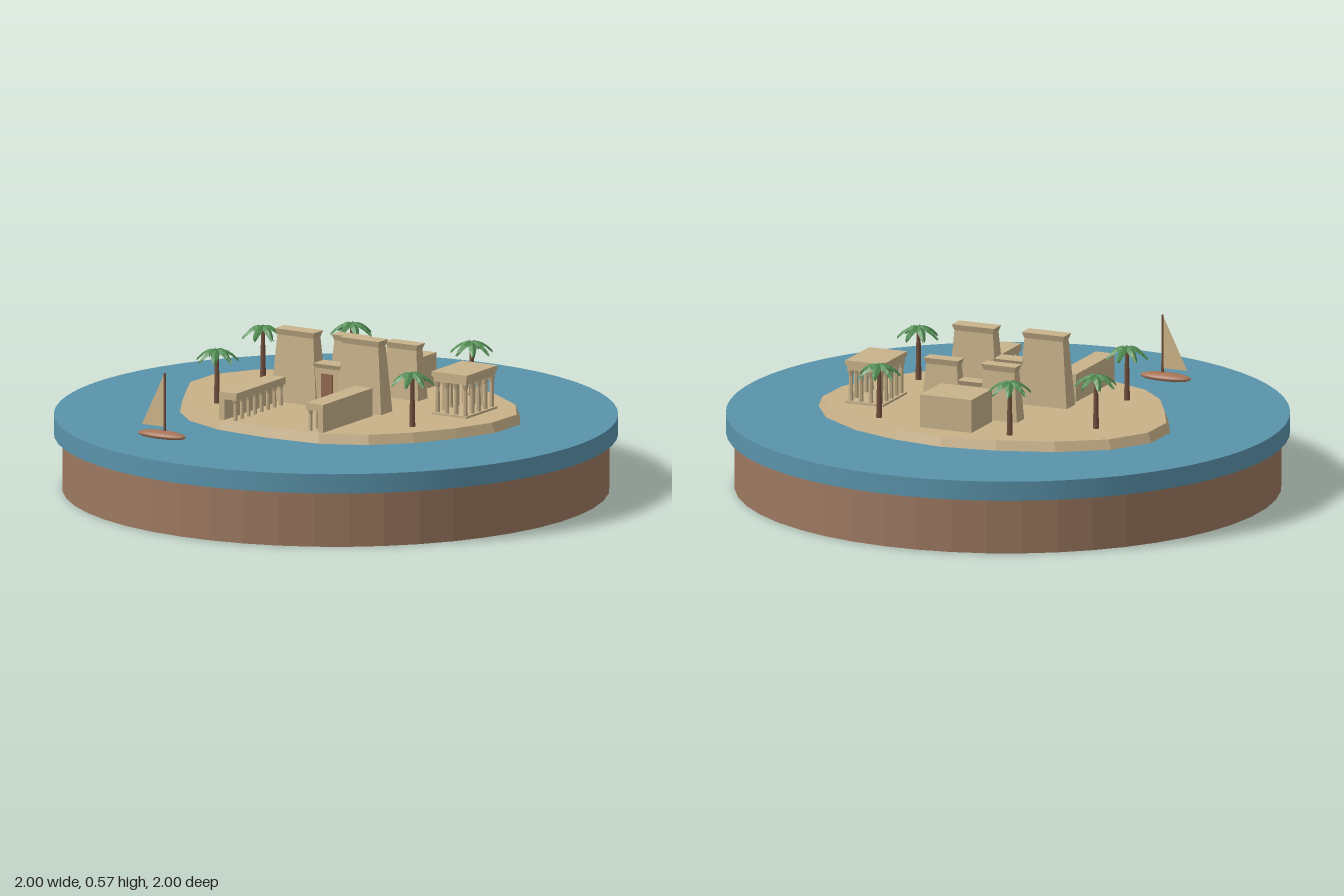
import * as THREE from 'three';

const mat = (name, color, extra = {}) => Object.assign(new THREE.MeshStandardMaterial({ color, ...extra }), { name });
const GROUND = 0.305;
const TURN = -0.345; // shared bearing of the buildings and the boat

export function createModel() {
  const water = mat('water', 0x5a93ab);
  const earth = mat('earth', 0x9c7860, { flatShading: true });
  const sand = mat('sand', 0xc8b189, { flatShading: true });
  const stone = mat('stone', 0xc8b28a, { flatShading: true });
  const door = mat('door', 0x94684f);
  const bark = mat('bark', 0x74523f);
  const leaf = mat('leaf', 0x4f8a50, { flatShading: true, side: THREE.DoubleSide });
  const hullWood = mat('hull wood', 0xa87558);
  const cloth = mat('sail cloth', 0xd0b68c, { side: THREE.DoubleSide });

  const model = new THREE.Group();
  model.name = 'islandTemple';

  const add = (parent, name, geometry, material, x = 0, y = 0, z = 0) => {
    const mesh = new THREE.Mesh(geometry, material);
    mesh.name = name;
    mesh.position.set(x, y, z);
    parent.add(mesh);
    return mesh;
  };
  const group = (name, x, y, z, turn = TURN) => {
    const g = new THREE.Group();
    g.name = name;
    g.position.set(x, y, z);
    g.rotation.y = turn;
    model.add(g);
    return g;
  };
  const box = (parent, name, w, h, d, x, y, z, material = stone) =>
    add(parent, name, new THREE.BoxGeometry(w, h, d), material, x, y + h / 2, z);

  // Box standing on y with a different footprint at its top
  const taperedBox = (parent, name, [w, d], [tw, td], h, x, y, z = 0) => {
    const g = new THREE.BoxGeometry(w, h, d);
    const p = g.attributes.position;
    for (let i = 0; i < p.count; i++) {
      if (p.getY(i) > 0) p.setXYZ(i, p.getX(i) * tw / w, p.getY(i), p.getZ(i) * td / d);
    }
    g.computeVertexNormals();
    return add(parent, name, g, stone, x, y + h / 2, z);
  };

  // Round base and water
  add(model, 'earthBase', new THREE.CylinderGeometry(0.97, 0.97, 0.2, 48), earth, 0, 0.1);
  add(model, 'waterDisc', new THREE.CylinderGeometry(1, 1, 0.07, 64), water, 0, 0.235);

  // Island with a sloping bank
  const outline = [
    [-0.6, -0.255], [-0.545, -0.405], [-0.41, -0.515], [-0.215, -0.565], [0, -0.56], [0.2, -0.52],
    [0.37, -0.43], [0.52, -0.305], [0.64, -0.13], [0.68, 0.035], [0.62, 0.19], [0.51, 0.31],
    [0.375, 0.415], [0.225, 0.485], [0.045, 0.5], [-0.16, 0.44], [-0.35, 0.35], [-0.485, 0.225],
    [-0.55, 0.09], [-0.58, -0.08],
  ];
  const island = new THREE.ExtrudeGeometry(
    new THREE.Shape(outline.map(([x, z]) => new THREE.Vector2(x, -z))),
    { depth: GROUND - 0.26, bevelEnabled: false },
  ).rotateX(-Math.PI / 2);
  const ip = island.attributes.position;
  for (let i = 0; i < ip.count; i++) {
    if (ip.getY(i) > 0.01) ip.setXYZ(i, 0.04 + (ip.getX(i) - 0.04) * 0.972, ip.getY(i), -0.03 + (ip.getZ(i) + 0.03) * 0.972);
  }
  island.computeVertexNormals();
  add(model, 'island', island, sand, 0, 0.26);

  // Gateway: two battered towers with flared cornices and a lower door block
  const pylon = (name, x, z, spacing, base, top, height, gateHeight) => {
    const g = group(name, x, GROUND, z);
    for (const s of [-1, 1]) {
      taperedBox(g, 'tower', base, top, height - 0.022, s * spacing / 2, 0);
      taperedBox(g, 'towerCornice', top, [top[0] + 0.014, top[1] + 0.014], 0.022, s * spacing / 2, height - 0.022);
    }
    const gw = spacing - top[0] - 0.01;
    const gd = base[1] - 0.02;
    box(g, 'gateBlock', gw, gateHeight - 0.016, gd, 0, 0, 0);
    taperedBox(g, 'gateCornice', [gw, gd], [gw, gd + 0.014], 0.016, 0, gateHeight - 0.016);
    for (const s of [-1, 1]) box(g, 'door', 0.046, gateHeight - 0.035, 0.004, 0, 0, s * (gd / 2 + 0.002), door);
  };
  pylon('firstPylon', -0.01, 0.03, 0.272, [0.19, 0.075], [0.15, 0.048], 0.262, 0.155);
  pylon('secondPylon', 0.11, -0.2, 0.223, [0.15, 0.064], [0.12, 0.04], 0.2, 0.13);

  // Sanctuary behind the second gateway
  const sanctuary = group('sanctuary', 0.158, GROUND, -0.33);
  box(sanctuary, 'sanctuaryHall', 0.2, 0.12, 0.177, 0, 0, 0);

  const column = (parent, x, z, y, h, r) => {
    add(parent, 'columnShaft', new THREE.CylinderGeometry(r * 0.85, r, h, 8), stone, x, y + h / 2, z);
    add(parent, 'columnCapital', new THREE.CylinderGeometry(r * 1.45, r * 0.85, h * 0.2, 8), stone, x, y + h * 0.9, z);
  };

  // Two colonnades facing each other across the court
  const colonnade = (name, x, z, inner) => {
    const g = group(name, x, GROUND, z);
    box(g, 'backWall', 0.022, 0.075, 0.33, -inner * 0.025, 0, 0);
    box(g, 'colonnadeRoof', 0.072, 0.026, 0.33, 0, 0.075, 0);
    for (let i = 0; i < 8; i++) column(g, inner * 0.024, -0.152 + i * 0.0434, 0, 0.075, 0.0075);
  };
  colonnade('westColonnade', -0.262, 0.19, 1);
  colonnade('eastColonnade', 0.078, 0.307, -1);

  // Open kiosk with columns around its edge
  const kiosk = group('kiosk', 0.47, GROUND, 0.018);
  box(kiosk, 'kioskFloor', 0.147, 0.008, 0.208, 0, 0, 0);
  for (let i = 0; i < 4; i++) {
    for (let j = 0; j < 5; j++) {
      if (i % 3 && j % 4) continue;
      column(kiosk, -0.058 + i * 0.0387, -0.088 + j * 0.044, 0.008, 0.112, 0.009);
    }
  }
  box(kiosk, 'kioskBeam', 0.136, 0.018, 0.197, 0, 0.12, 0);
  box(kiosk, 'kioskRoof', 0.147, 0.018, 0.208, 0, 0.138, 0);

  // Palm frond: a folded, drooping strip
  const frond = new THREE.PlaneGeometry(1, 1, 4, 2);
  const fp = frond.attributes.position;
  for (let i = 0; i < fp.count; i++) {
    const u = fp.getX(i) + 0.5;
    const side = fp.getY(i) * 2;
    const halfWidth = 0.003 + 0.012 * Math.sin(Math.PI * Math.min(1, 0.12 + u * 0.85));
    fp.setXYZ(i, u * 0.076, 0.012 * u - 0.05 * u * u - Math.abs(side) * 0.009, side * halfWidth);
  }
  frond.computeVertexNormals();

  const palms = [[-0.34, -0.345], [-0.043, -0.463], [0.438, -0.25], [-0.417, 0.067], [0.342, 0.302]];
  palms.forEach(([x, z], k) => {
    const palm = group('palm', x, GROUND, z, k * 0.7);
    add(palm, 'trunk', new THREE.CylinderGeometry(0.007, 0.011, 0.19, 7), bark, 0, 0.095);
    for (let i = 0; i < 7; i++) {
      add(palm, 'frond', frond, leaf, 0, 0.196, 0).rotation.y = i * Math.PI * 2 / 7;
    }
  });

  // Sailing boat
  const boat = group('boat', -0.52, 0.279, 0.51);
  const hull = new THREE.SphereGeometry(1, 24, 12).scale(0.098, 0.016, 0.035);
  add(boat, 'hull', hull, hullWood);
  add(boat, 'mast', new THREE.CylinderGeometry(0.004, 0.005, 0.225, 6), bark, 0.012, 0.1125);
  const sail = new THREE.Shape([[0.008, 0.218], [-0.084, 0.03], [0.008, 0.03]].map(([x, y]) => new THREE.Vector2(x, y)));
  add(boat, 'sail', new THREE.ShapeGeometry(sail), cloth);

  return model;
}
